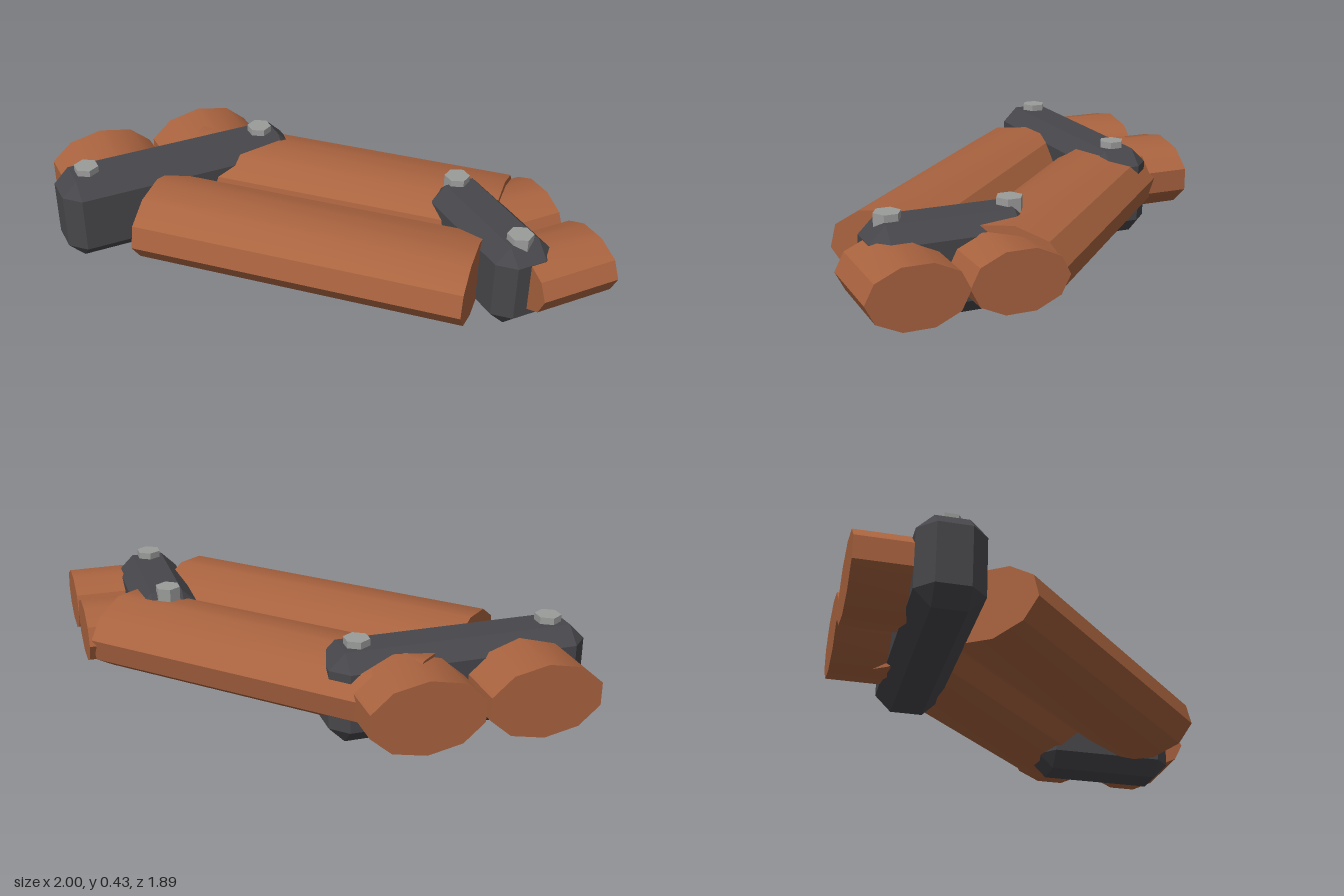
import * as THREE from 'three';
import { toCreasedNormals } from 'three/addons/utils/BufferGeometryUtils.js';
import { ConvexGeometry } from 'three/addons/geometries/ConvexGeometry.js';

const PIPE_Y = 0.215;
const rad = THREE.MathUtils.degToRad;

// Ten-sided oval pipe lying flat; yaw 0 runs along z, roll turns the facets
function pipe(name, material, { x, z, length, rx, ry, yaw = 0, roll = 0 }) {
  const geometry = new THREE.CylinderGeometry(1, 1, length, 10)
    .rotateX(Math.PI / 2)
    .rotateZ(rad(roll))
    .scale(rx, ry, 1);
  const mesh = new THREE.Mesh(toCreasedNormals(geometry, rad(30)), material);
  mesh.name = name;
  mesh.position.set(x, PIPE_Y, z);
  mesh.rotation.y = rad(yaw);
  return mesh;
}

// Block with every edge chamfered by c
function chamferedBlock(hx, hy, hz, c) {
  const points = [];
  for (const sx of [-1, 1]) for (const sy of [-1, 1]) for (const sz of [-1, 1]) {
    points.push(
      new THREE.Vector3(sx * hx, sy * (hy - c), sz * (hz - c)),
      new THREE.Vector3(sx * (hx - c), sy * hy, sz * (hz - c)),
      new THREE.Vector3(sx * (hx - c), sy * (hy - c), sz * hz));
  }
  return new ConvexGeometry(points);
}

// Clamp block with a hex bolt near each end
function clamp(name, materials, { x, z, hx, hz, bolts }) {
  const group = new THREE.Group();
  group.name = name;
  const block = new THREE.Mesh(chamferedBlock(hx, 0.2, hz, 0.07), materials.iron);
  block.name = 'clampBlock';
  block.position.set(x, 0.2, z);
  group.add(block);
  for (const [bx, bz] of bolts) {
    const bolt = new THREE.Mesh(
      toCreasedNormals(new THREE.CylinderGeometry(0.057, 0.057, 0.06, 6), rad(30)), materials.steel);
    bolt.name = 'bolt';
    bolt.position.set(bx, 0.4, bz);
    group.add(bolt);
  }
  return group;
}

export function createModel() {
  const model = new THREE.Group();
  model.name = 'clampedPipes';
  const materials = {
    copper: new THREE.MeshStandardMaterial({ color: 0xa9633f }),
    iron: new THREE.MeshStandardMaterial({ color: 0x47474b }),
    steel: new THREE.MeshStandardMaterial({ color: 0x9a9c9a }),
  };
  for (const [name, m] of Object.entries(materials)) m.name = name;

  // Long diagonal pipes
  for (const [x, z] of [[-0.08, 0.15], [0.28, -0.21]]) {
    model.add(pipe('diagonalPipe', materials.copper,
      { x, z, length: 1.5, rx: 0.257, ry: 0.165, yaw: 45, roll: -9 }));
  }
  // Short pipes leaving to the back
  for (const x of [-0.685, -0.175]) {
    model.add(pipe('backPipe', materials.copper,
      { x, z: -0.765, length: 0.37, rx: 0.257, ry: 0.163 }));
  }
  // Short, slimmer pipes leaving to the left side
  for (const z of [0.335, 0.74]) {
    model.add(pipe('sidePipe', materials.copper,
      { x: 0.8125, z, length: 0.375, rx: 0.205, ry: 0.131, yaw: 90, roll: 18 }));
  }

  // Clamps over the two bends
  model.add(clamp('backClamp', materials,
    { x: -0.43, z: -0.58, hx: 0.57, hz: 0.14, bolts: [[-0.86, -0.58], [0, -0.58]] }));
  model.add(clamp('sideClamp', materials,
    { x: 0.63, z: 0.495, hx: 0.14, hz: 0.335, bolts: [[0.625, 0.22], [0.625, 0.73]] }));
  return model;
}
